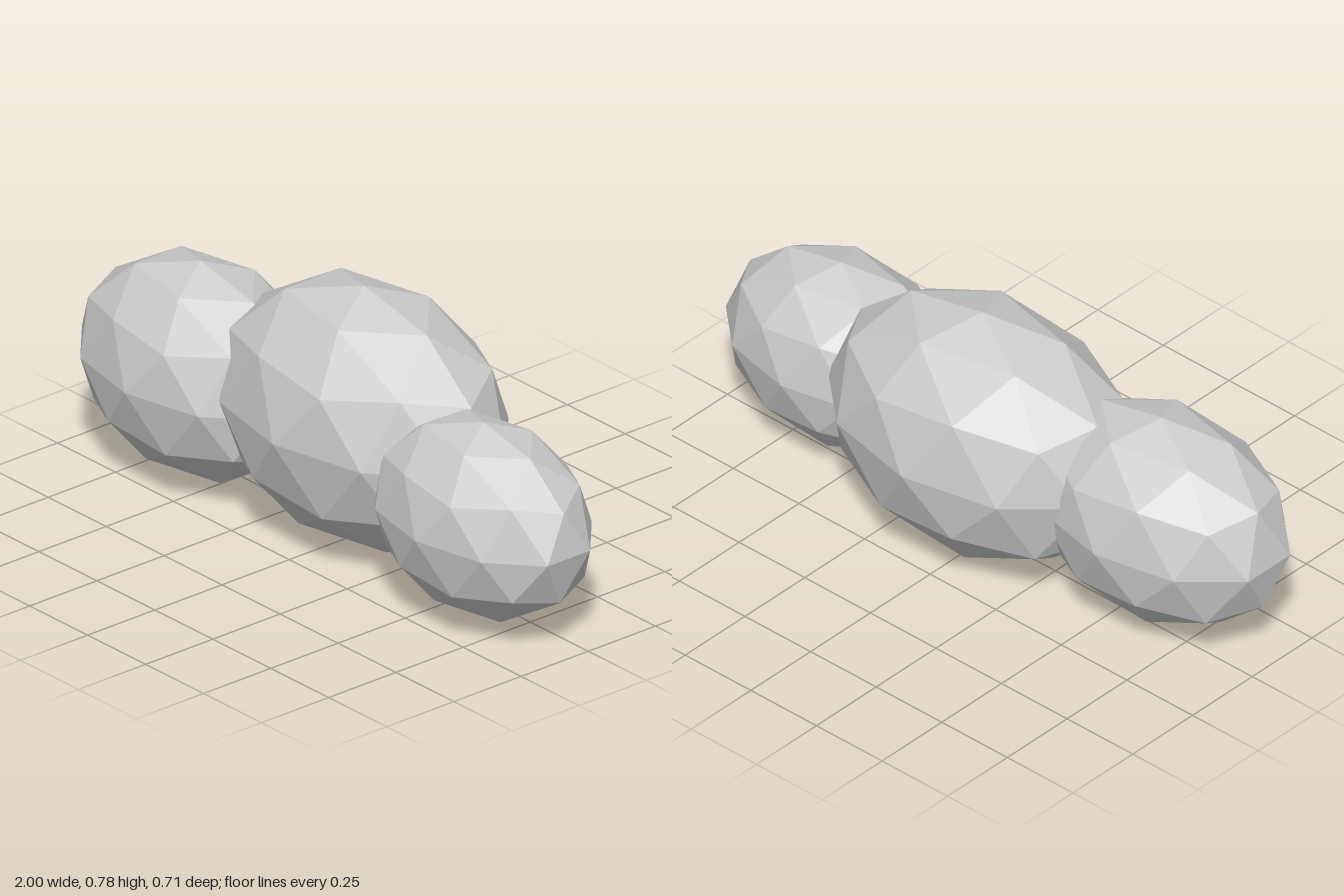
import * as THREE from 'three';

// Faceted ball: pole-up icosahedron split once
function facetedBall() {
  const points = [0, 1, 0];
  const h = 1 / Math.sqrt(5), r = 2 * h;
  for (const [y, offset] of [[h, 0], [-h, Math.PI / 5]]) {
    for (let i = 0; i < 5; i++) {
      const a = offset + (i * 2 * Math.PI) / 5;
      points.push(r * Math.cos(a), y, r * Math.sin(a));
    }
  }
  points.push(0, -1, 0);

  const faces = [];
  for (let i = 0; i < 5; i++) {
    const j = (i + 1) % 5;
    const u0 = 1 + i, u1 = 1 + j, l0 = 6 + i, l1 = 6 + j;
    faces.push(0, u1, u0, u0, u1, l0, u1, l1, l0, 11, l0, l1);
  }
  const geometry = new THREE.PolyhedronGeometry(points, faces, 1, 1);
  geometry.computeVertexNormals();
  return geometry;
}

export function createModel() {
  const model = new THREE.Group();
  model.name = 'boulderCluster';
  const stone = new THREE.MeshStandardMaterial({ color: 0xcccccc, flatShading: true });
  stone.name = 'pale grey';
  const ball = facetedBall();

  // Three overlapping lobes sharing the same proportions
  const lobes = [
    ['middleLobe', 1, 0.015, 0.391, -0.015],
    ['rightLobe', 0.833, -0.59, 0.34, 0.071],
    ['leftLobe', 0.75, 0.63, 0.313, 0.071],
  ];
  for (const [name, size, x, y, z] of lobes) {
    const lobe = new THREE.Mesh(ball, stone);
    lobe.name = name;
    lobe.position.set(x, y, z);
    lobe.scale.set(0.518 * size, 0.39 * size, 0.34 * size);
    model.add(lobe);
  }
  return model;
}
